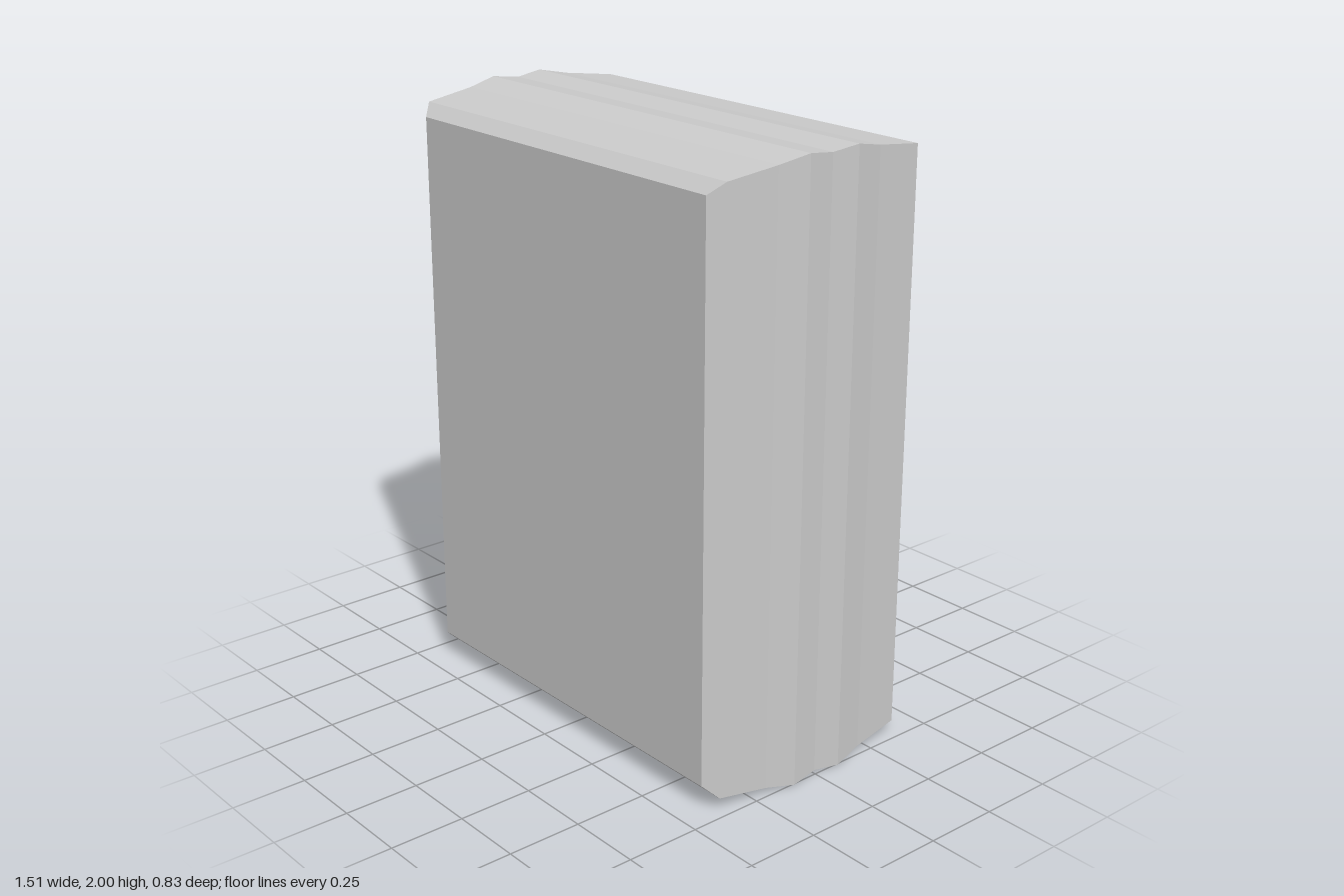
import * as THREE from 'three';

// Half of the depth profile, outer face to centre: [z, half width, half height]
const HALF_PROFILE = [
  [0.415, 0.68, 0.917],
  [0.375, 0.72, 0.956],
  [0.2, 0.737, 0.979],
  [0.095, 0.755, 1.0],
];
const CENTRE = [0, 0.746, 0.988];

// Closed solid made of rectangular cross-sections stacked along z (back to front)
function rectangularLoft(sections) {
  const positions = [];
  const index = [];
  for (const [z, w, h] of sections) {
    positions.push(-w, -h, z, w, -h, z, w, h, z, -w, h, z);
  }
  const quad = (a, b, c, d) => index.push(a, b, c, a, c, d);
  for (let i = 0; i < sections.length - 1; i++) {
    const back = i * 4;
    const front = back + 4;
    for (let j = 0; j < 4; j++) {
      const k = (j + 1) % 4;
      quad(back + j, back + k, front + k, front + j);
    }
  }
  const last = (sections.length - 1) * 4;
  quad(3, 2, 1, 0);
  quad(last, last + 1, last + 2, last + 3);

  const indexed = new THREE.BufferGeometry();
  indexed.setAttribute('position', new THREE.Float32BufferAttribute(positions, 3));
  indexed.setIndex(index);
  const geometry = indexed.toNonIndexed();
  geometry.computeVertexNormals();
  return geometry;
}

export function createModel() {
  const group = new THREE.Group();
  group.name = 'ridgedBlock';

  // Bevelled front and back, with two ridges and a centre groove round the rim
  const back = HALF_PROFILE.map(([z, w, h]) => [-z, w, h]);
  const front = [...HALF_PROFILE].reverse();
  const body = new THREE.Mesh(
    rectangularLoft([...back, CENTRE, ...front]),
    new THREE.MeshStandardMaterial({ color: 0xcccccc, flatShading: true })
  );
  body.name = 'body';
  body.position.y = 1;
  group.add(body);

  return group;
}
